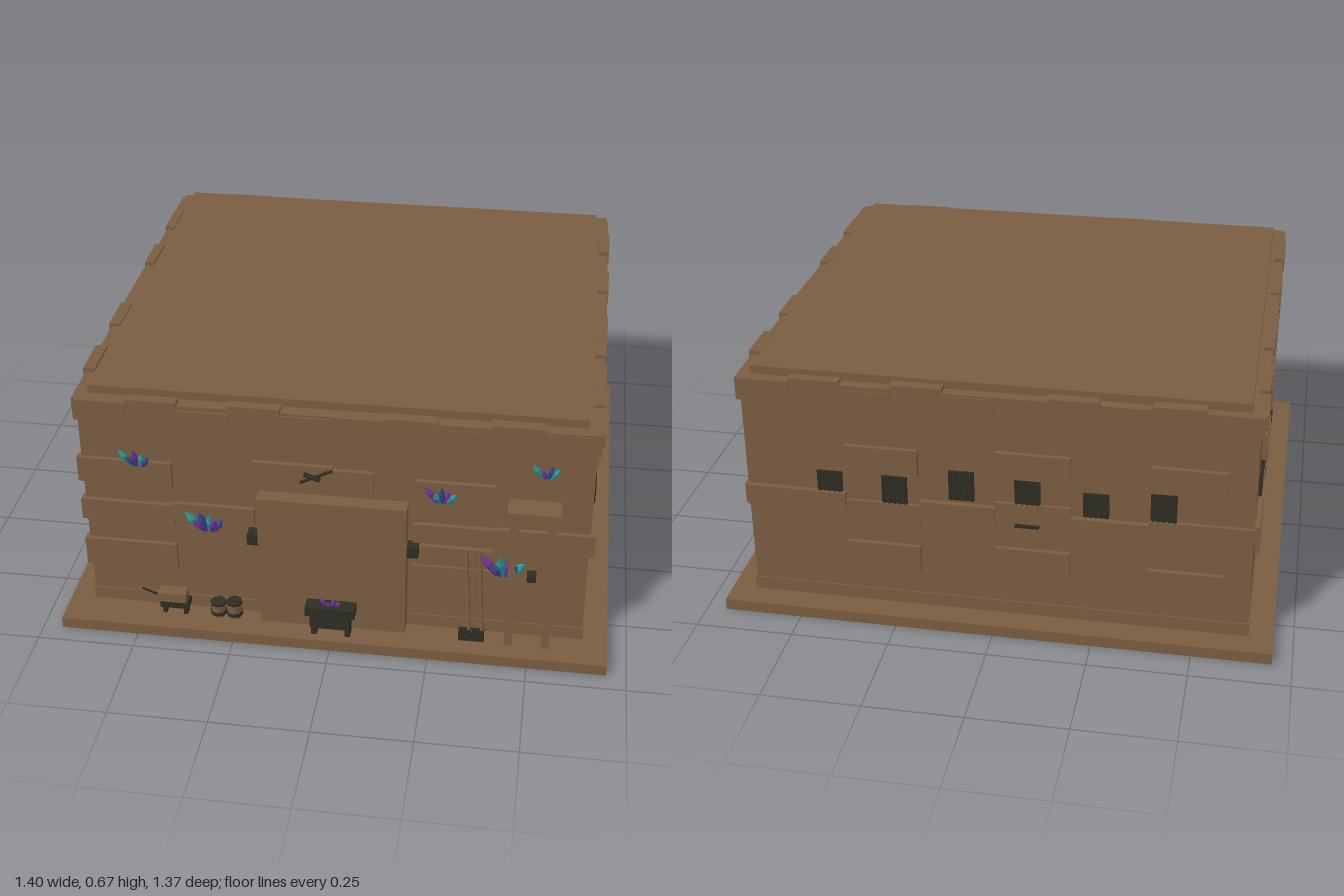
import * as THREE from 'three';

const mat = (name, color) => {
  const m = new THREE.MeshStandardMaterial({ color });
  m.name = name;
  return m;
};

export function createModel() {
  const root = new THREE.Group();
  root.name = 'stoneStorehouse';
  const brown = mat('earthBrown', 0x7b5d41);
  const dark = mat('darkIron', 0x2e2d24);
  const teal = mat('tealCrystal', 0x2aa39c);
  const purple = mat('purpleCrystal', 0x7b35a8);
  const blue = mat('blueCrystal', 0x3f4f96);

  // box given by its limits on each axis
  const box = (parent, name, m, x0, x1, y0, y1, z0, z1) => {
    const b = new THREE.Mesh(new THREE.BoxGeometry(x1 - x0, y1 - y0, z1 - z0), m);
    b.position.set((x0 + x1) / 2, (y0 + y1) / 2, (z0 + z1) / 2);
    b.name = name;
    parent.add(b);
    return b;
  };
  // straight rod between two points
  const rod = (parent, name, m, a, b, r, sides = 6) => {
    const p = new THREE.Vector3(...a), q = new THREE.Vector3(...b);
    const d = q.clone().sub(p);
    const c = new THREE.Mesh(new THREE.CylinderGeometry(r, r, d.length(), sides), m);
    c.position.copy(p).add(q).multiplyScalar(0.5);
    c.quaternion.setFromUnitVectors(new THREE.Vector3(0, 1, 0), d.normalize());
    c.name = name;
    parent.add(c);
  };

  // main masses
  box(root, 'basePlinth', brown, -0.7, 0.7, 0, 0.03, -0.67, 0.7);
  box(root, 'walls', brown, -0.635, 0.635, 0.03, 0.6, -0.6, 0.6);
  box(root, 'footCourse', brown, -0.638, 0.638, 0.03, 0.065, -0.604, 0.604);
  box(root, 'cornice', brown, -0.643, 0.643, 0.585, 0.645, -0.612, 0.61);
  box(root, 'roofSlab', brown, -0.61, 0.61, 0.64, 0.667, -0.585, 0.577);

  // one group per wall: local x runs along the wall, local z points out of it
  const side = (name, angle) => {
    const g = new THREE.Group();
    g.name = name;
    g.rotation.y = angle;
    root.add(g);
    return g;
  };
  const brick = (g, d, x0, x1, y0, y1, t = 0.012) =>
    box(g, 'brick', brown, x0, x1, y0, y1, d - 0.01, d + t);

  const sides = [
    [side('rightWall', Math.PI / 2), 0.635, 0.6],
    [side('backWall', Math.PI), 0.6, 0.635],
    [side('leftWall', -Math.PI / 2), 0.635, 0.6],
  ];
  const windows = [
    [-0.42, 0.335, 0.4], [-0.255, 0.32, 0.4], [-0.085, 0.35, 0.43],
    [0.08, 0.35, 0.43], [0.25, 0.335, 0.4], [0.415, 0.33, 0.415],
  ];
  for (const [g, d, half] of sides) {
    // mid ledge of staggered stones
    const cuts = [-half, -0.38, -0.19, 0, 0.19, 0.38, half];
    const tops = [0.345, 0.325, 0.34, 0.355, 0.33, 0.34];
    tops.forEach((y, i) => brick(g, d, cuts[i], cuts[i + 1], y - 0.055, y, i % 2 ? 0.01 : 0.014));
    // raised stones above and below the ledge
    for (const [x, up, low] of [[-0.38, 0.41, 0.13], [0, 0.425, 0.15], [0.38, 0.42, 0.125]]) {
      brick(g, d, x, x + 0.187, up, up + 0.07);
      brick(g, d, x, x + 0.187, low, low + 0.075);
    }
    // barred vents
    for (const [x, y0, y1] of windows) {
      box(g, 'ventPlate', dark, x - 0.032, x + 0.032, y0, y1, d, d + 0.006);
      for (let i = -2; i <= 2; i++)
        box(g, 'ventBar', dark, x + i * 0.013 - 0.002, x + i * 0.013 + 0.002, y0, y1, d, d + 0.009);
    }
    box(g, 'lowVent', dark, 0.05, 0.11, 0.292, 0.3, d, d + 0.016);
  }

  // front wall stones
  const front = side('frontWall', 0);
  for (const [x0, x1, y0, y1] of [
    [-0.645, -0.405, 0.15, 0.227], [0.2, 0.4, 0.15, 0.227], [0.2, 0.4, 0.232, 0.288],
    [-0.645, -0.405, 0.29, 0.35], [-0.405, -0.2, 0.305, 0.357], [0.2, 0.4, 0.297, 0.352],
    [0.4, 0.645, 0.295, 0.355], [-0.645, -0.405, 0.405, 0.475], [-0.2, 0, 0.43, 0.5],
    [0, 0.1, 0.425, 0.492], [0.2, 0.4, 0.41, 0.48],
  ]) brick(front, 0.6, x0, x1, y0, y1);

  // uneven coping stones along the cornice
  const coping = (g, d, half) => {
    const n = 10, w = (2 * half) / n;
    for (let i = 0; i < n; i += 1) {
      const lift = [0, 0.008, -0.012, 0.01, -0.006][i % 5];
      const x = -half + i * w;
      box(g, 'copingStone', brown, x, x + w, 0.607 + lift, 0.645 + lift, d - 0.015, d + (i % 2 ? 0.012 : 0.015));
    }
  };
  coping(front, 0.6, 0.635);
  for (const [g, d, half] of sides) coping(g, d, half);

  // door with hinges
  const door = side('door', 0);
  box(door, 'doorSlab', brown, -0.187, 0.187, 0.03, 0.41, 0.6, 0.64);
  for (const s of [-1, 1])
    box(door, 'hinge', dark, s * 0.202 - 0.014, s * 0.202 + 0.014, 0.265, 0.295, 0.6, 0.635);

  // crossed tool emblem above the door
  rod(front, 'emblemHandle', dark, [-0.08, 0.455, 0.617], [0, 0.495, 0.617], 0.004);
  rod(front, 'emblemBlade', dark, [-0.07, 0.48, 0.617], [-0.03, 0.465, 0.617], 0.006);

  // timber frame
  const frame = side('timberFrame', 0);
  for (const x of [0.45, 0.543]) box(frame, 'post', brown, x - 0.01, x + 0.01, 0.03, 0.43, 0.635, 0.655);
  box(frame, 'beam', brown, 0.432, 0.56, 0.43, 0.443, 0.6, 0.662);
  for (const y of [0.22, 0.42])
    box(frame, 'bracket', dark, 0.487, 0.51, y - 0.012, y + 0.012, 0.6, 0.62);

  // leaning shovels
  const tools = side('leaningTools', 0);
  for (const x of [0.34, 0.373]) {
    rod(tools, 'toolHandle', brown, [x + 0.01, 0.06, 0.645], [x - 0.005, 0.29, 0.615], 0.005);
    box(tools, 'toolHead', dark, x - 0.016, x + 0.016, 0.03, 0.065, 0.638, 0.65);
  }

  // planter trough
  const trough = side('trough', 0);
  box(trough, 'troughRim', dark, -0.065, 0.062, 0.09, 0.115, 0.64, 0.68);
  box(trough, 'troughBody', dark, -0.053, 0.05, 0.05, 0.09, 0.645, 0.676);
  for (const x of [-0.05, 0.036])
    box(trough, 'troughLeg', dark, x, x + 0.014, 0.03, 0.05, 0.645, 0.676);

  // anvil bench and small barrels
  const clutter = side('yardClutter', 0);
  box(clutter, 'benchTop', brown, -0.455, -0.382, 0.07, 0.095, 0.612, 0.648);
  box(clutter, 'benchFoot', dark, -0.45, -0.375, 0.052, 0.07, 0.612, 0.648);
  for (const x of [-0.445, -0.39]) box(clutter, 'benchLeg', dark, x, x + 0.01, 0.03, 0.052, 0.618, 0.642);
  rod(clutter, 'benchHandle', dark, [-0.5, 0.095, 0.63], [-0.45, 0.075, 0.63], 0.003);
  for (const [x, h] of [[-0.3, 0.04], [-0.258, 0.045]]) {
    rod(clutter, 'barrel', brown, [x, 0.03, 0.628], [x, 0.03 + h, 0.628], 0.019, 8);
    rod(clutter, 'barrelHoop', dark, [x, 0.037, 0.628], [x, 0.046, 0.628], 0.022, 8);
    rod(clutter, 'barrelRim', dark, [x, 0.026 + h, 0.628], [x, 0.032 + h, 0.628], 0.021, 8);
  }

  // crystal clusters fanning up and out from the wall
  const crystals = (x, y, z, size, count, colours) => {
    const g = new THREE.Group();
    g.name = 'crystalCluster';
    g.position.set(x, y, z);
    for (let i = 0; i < count; i++) {
      const f = count > 1 ? (i / (count - 1)) * 2 - 1 : 0;
      const len = size * [1, 0.85, 1.1, 0.75][i % 4];
      const dir = new THREE.Vector3(f * 0.55, 1, [0.35, 0.75, 0.5][i % 3]).normalize();
      const pivot = new THREE.Group();
      pivot.name = 'crystal';
      pivot.quaternion.setFromUnitVectors(new THREE.Vector3(0, 1, 0), dir);
      pivot.position.x = f * size * 0.2;
      const r = size * 0.13;
      const shaft = new THREE.Mesh(new THREE.CylinderGeometry(r, r * 0.7, len * 0.6, 5), colours[i % colours.length]);
      shaft.name = 'crystalShaft';
      shaft.position.y = len * 0.3;
      const tip = new THREE.Mesh(new THREE.ConeGeometry(r, len * 0.4, 5), shaft.material);
      tip.name = 'crystalTip';
      tip.position.y = len * 0.8;
      pivot.add(shaft, tip);
      g.add(pivot);
    }
    root.add(g);
  };
  crystals(-0.49, 0.465, 0.61, 0.065, 5, [teal, blue, purple]);
  crystals(-0.32, 0.285, 0.61, 0.08, 6, [teal, purple, blue]);
  crystals(0.27, 0.425, 0.61, 0.065, 5, [purple, teal, blue]);
  crystals(0.43, 0.22, 0.61, 0.088, 6, [purple, blue, teal]);
  crystals(0.52, 0.515, 0.605, 0.055, 4, [teal, purple, blue]);
  crystals(0, 0.105, 0.655, 0.045, 4, [purple]);

  return root;
}
